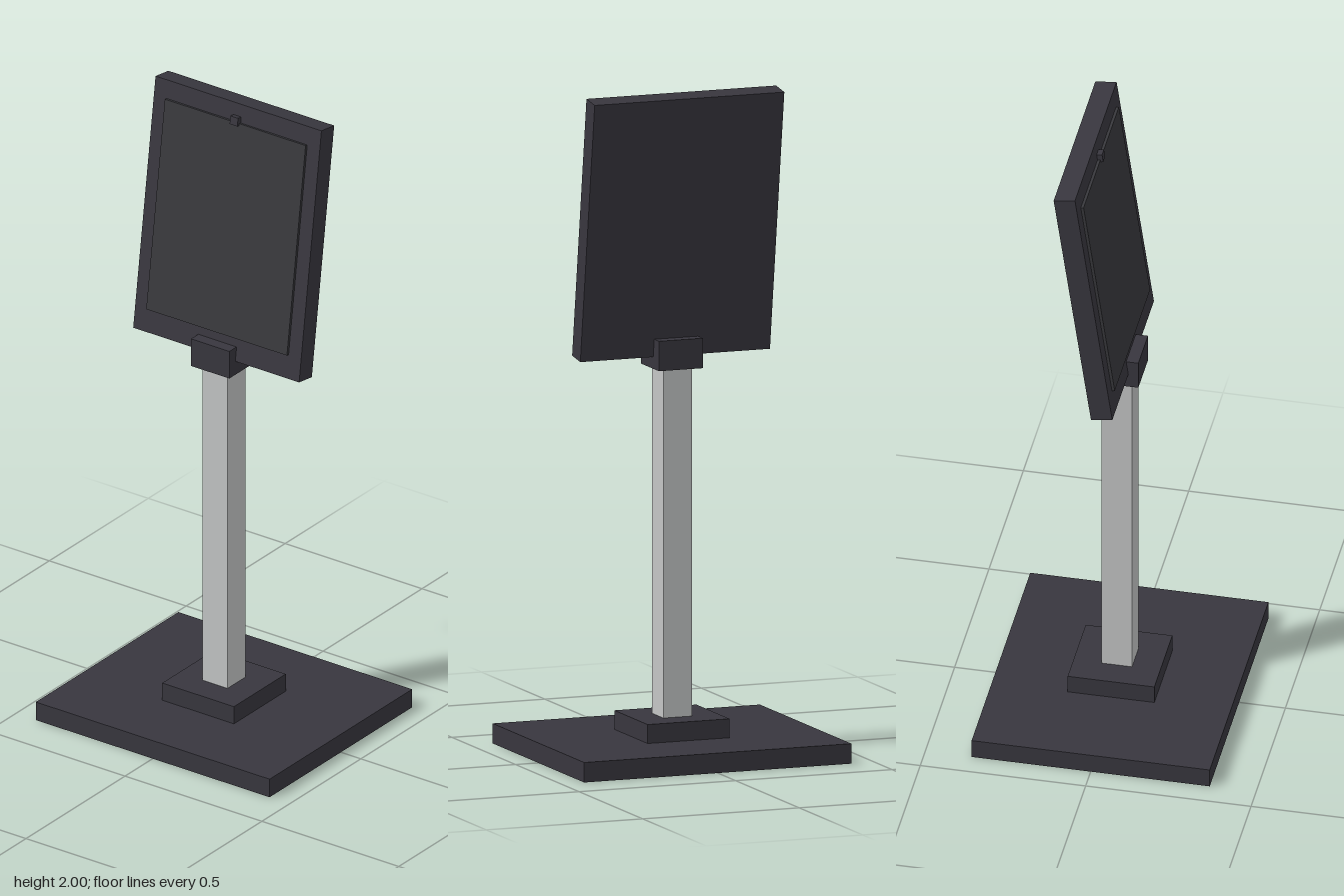
import * as THREE from 'three';

export function createModel() {
  const model = new THREE.Group();
  model.name = 'displayStand';

  const material = (name, color) => {
    const m = new THREE.MeshStandardMaterial({ color });
    m.name = name;
    return m;
  };
  const charcoal = material('charcoal', 0x38363e);
  const screenGrey = material('screenGrey', 0x38383c);
  const lightGrey = material('lightGrey', 0xc3c5c5);

  // Box with given size and centre
  const box = (parent, name, mat, [w, h, d], [x, y, z]) => {
    const mesh = new THREE.Mesh(new THREE.BoxGeometry(w, h, d), mat);
    mesh.name = name;
    mesh.position.set(x, y, z);
    parent.add(mesh);
  };

  // Stand, from the floor up
  box(model, 'basePlate', charcoal, [0.854, 0.06, 0.72], [0, 0.03, 0]);
  box(model, 'plinth', charcoal, [0.262, 0.057, 0.262], [0, 0.0885, 0]);
  box(model, 'post', lightGrey, [0.092, 1.048, 0.092], [0, 0.641, 0]);
  box(model, 'collar', charcoal, [0.14, 0.09, 0.14], [0, 1.21, 0]);

  // Display head, leaning back
  const head = new THREE.Group();
  head.name = 'displayHead';
  head.position.set(0, 1.6, -0.049);
  head.rotation.x = -0.142;
  model.add(head);
  box(head, 'frame', charcoal, [0.606, 0.798, 0.065], [0, 0, 0]);
  box(head, 'screen', screenGrey, [0.514, 0.666, 0.009], [0, 0.008, 0.0365]);
  box(head, 'camera', charcoal, [0.028, 0.026, 0.02], [0, 0.347, 0.039]);

  return model;
}
